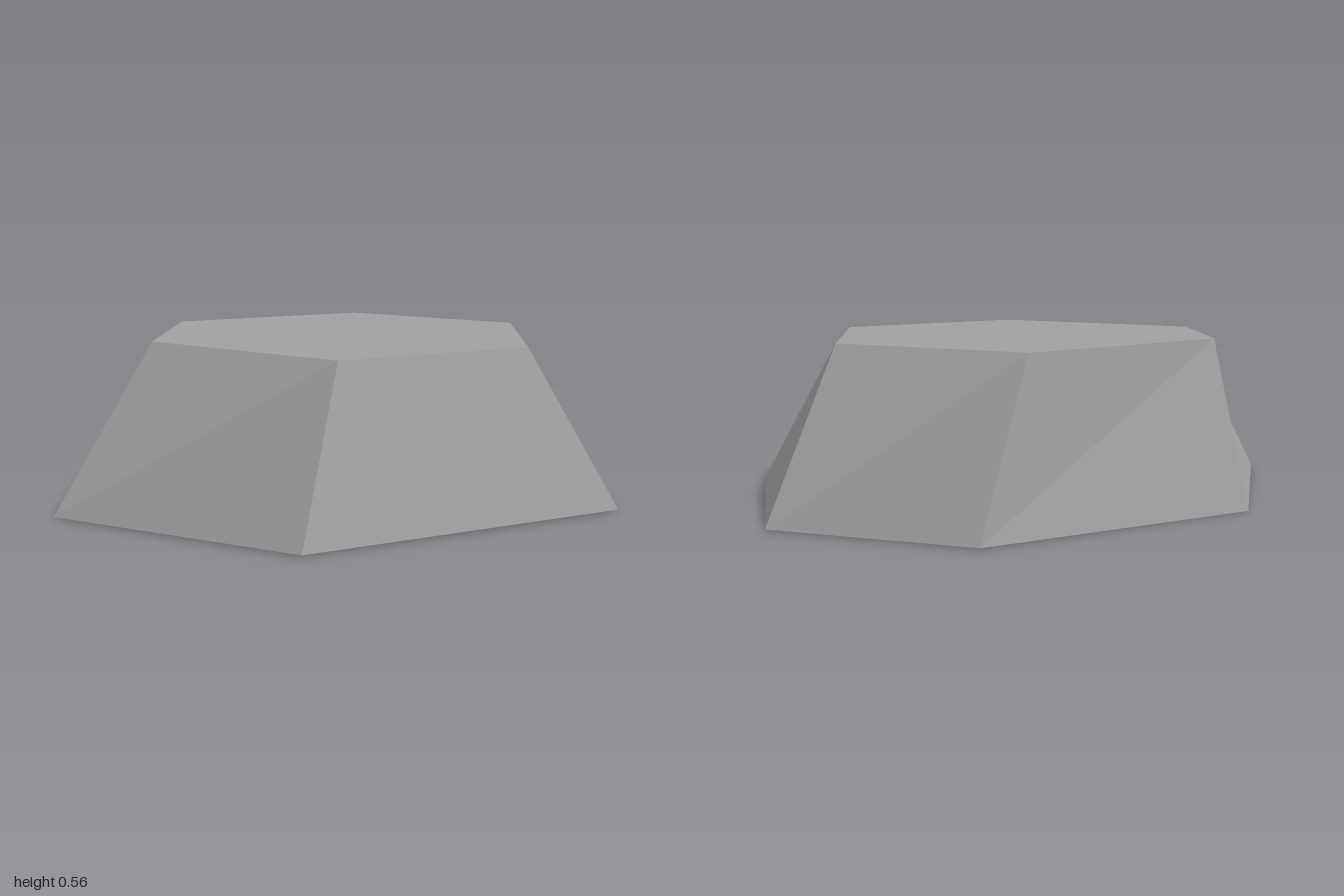
import * as THREE from 'three';

// Corner rings as [x, y, z], clockwise seen from above, starting at the -x corner
const base = [
  [-1, 0.005, -0.085], [-0.43, 0, -0.685], [0.575, 0.005, -0.65],
  [1, 0.005, -0.09], [0.68, 0.007, 0.685], [-0.48, 0.007, 0.685],
];
const crown = [
  [-0.645, 0.555, -0.10], [-0.36, 0.56, -0.58], [0.38, 0.555, -0.61],
  [0.72, 0.555, -0.02], [0.38, 0.553, 0.575], [-0.305, 0.553, 0.575],
];

// Turns a list of triangles into a faceted mesh
function facetedMesh(name, triangles, material) {
  const geometry = new THREE.BufferGeometry();
  geometry.setAttribute('position', new THREE.Float32BufferAttribute(triangles.flat(2), 3));
  geometry.computeVertexNormals();
  const mesh = new THREE.Mesh(geometry, material);
  mesh.name = name;
  return mesh;
}

export function createModel() {
  const stone = new THREE.MeshStandardMaterial({ color: 0xa0a0a0 });
  stone.name = 'stoneGrey';

  const sides = [], top = [], bottom = [];
  base.forEach((b, i) => {
    const j = (i + 1) % base.length;
    // Sloping, slightly twisted side
    sides.push([base[j], b, crown[i]], [base[j], crown[i], crown[j]]);
    // Fans that close the top and the underside
    if (i > 0 && j > 0) {
      top.push([crown[0], crown[j], crown[i]]);
      bottom.push([base[0], b, base[j]]);
    }
  });

  const rock = new THREE.Group();
  rock.name = 'rock';
  rock.add(
    facetedMesh('rockSides', sides, stone),
    facetedMesh('rockTop', top, stone),
    facetedMesh('rockUnderside', bottom, stone),
  );
  return rock;
}
